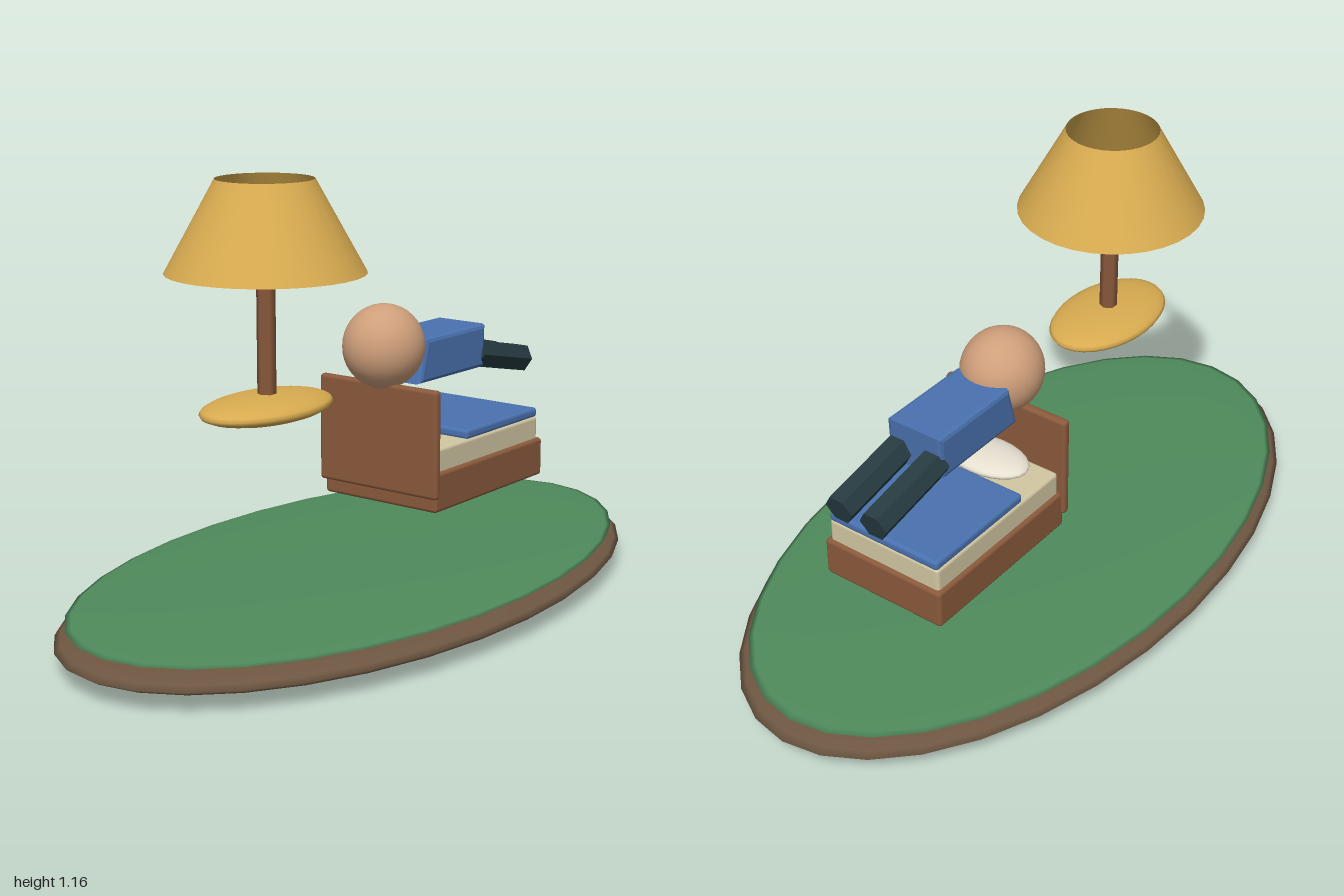
import * as THREE from 'three';
import { RoundedBoxGeometry } from 'three/addons/geometries/RoundedBoxGeometry.js';

const mat = (color, extra = {}) => new THREE.MeshStandardMaterial({ color, ...extra });

export function createModel() {
  const model = new THREE.Group();
  const wood = mat(0x8b5a3c);
  const gold = mat(0xd8ab50, { side: THREE.DoubleSide });
  const blue = mat(0x4a72b0);
  const dark = mat(0x263b41, { flatShading: true });

  const add = (name, geometry, material, x, y, z = 0, parent = model) => {
    const mesh = new THREE.Mesh(geometry, material);
    mesh.name = name;
    mesh.position.set(x, y, z);
    parent.add(mesh);
    return mesh;
  };
  const ellipsoid = (rx, ry, rz, w = 32, h = 16) =>
    new THREE.SphereGeometry(1, w, h).scale(rx, ry, rz);
  const block = (w, h, d, r = 0.01) => new RoundedBoxGeometry(w, h, d, 2, r);

  // Floating oval island: soil disc with a grass cap
  add('soil', ellipsoid(1, 0.058, 0.545), mat(0x6e5742), 0, 0.058);
  add('grass', ellipsoid(0.967, 0.018, 0.525), mat(0x4f8a5b), 0, 0.104);

  // Bed
  const bed = new THREE.Group();
  bed.name = 'bed';
  model.add(bed);
  add('bedBase', block(0.52, 0.108, 0.372), wood, 0.348, 0.294, 0, bed);
  add('headboard', block(0.026, 0.295, 0.39), wood, 0.087, 0.427, 0, bed);
  add('mattress', block(0.5, 0.09, 0.35), mat(0xd3c7a3), 0.348, 0.366, 0, bed);
  add('blanket', block(0.35, 0.028, 0.346), blue, 0.425, 0.421, 0, bed);
  add('pillow', ellipsoid(0.077, 0.025, 0.125, 24), mat(0xe6e0d0), 0.172, 0.431, 0, bed);

  // Sleeper hovering above the bed
  const sleeper = new THREE.Group();
  sleeper.name = 'sleeper';
  model.add(sleeper);
  add('head', ellipsoid(0.114, 0.114, 0.109, 32, 20), mat(0xcf9f7b), 0.105, 0.669, 0, sleeper);

  // Torso: wedge-ended slab with soft edges
  const bevel = 0.012;
  const side = new THREE.Shape([
    new THREE.Vector2(0.167, 0.575),
    new THREE.Vector2(0.448, 0.575),
    new THREE.Vector2(0.453, 0.673),
    new THREE.Vector2(0.194, 0.673),
  ]);
  const torso = new THREE.ExtrudeGeometry(side, {
    depth: 0.17 - 2 * bevel, bevelSize: bevel, bevelThickness: bevel, bevelSegments: 2,
  }).translate(0, 0, bevel - 0.085);
  add('torso', torso, blue, 0, 0, 0, sleeper);

  // Six-sided legs, sloping down towards the foot of the bed
  for (const s of [-1, 1]) {
    const leg = add(s > 0 ? 'legFront' : 'legBack',
      new THREE.CylinderGeometry(0.0415, 0.0415, 0.25, 6), dark, 0.567, 0.576, s * 0.054, sleeper);
    leg.rotation.z = Math.PI / 2 - 0.21;
  }

  // Lamp
  const lamp = new THREE.Group();
  lamp.name = 'lamp';
  lamp.position.x = -0.376;
  model.add(lamp);
  add('lampBase', ellipsoid(0.208, 0.034, 0.13, 32, 12), gold, 0, 0.592, 0, lamp);
  const pole = new THREE.CylinderGeometry(0.024, 0.024, 0.36, 6).rotateY(Math.PI / 2);
  add('lampPole', pole, wood, 0, 0.77, 0, lamp);
  add('lampShade', new THREE.CylinderGeometry(0.123, 0.25, 0.23, 32, 1, true), gold, 0, 1.043, 0, lamp);

  return model;
}
